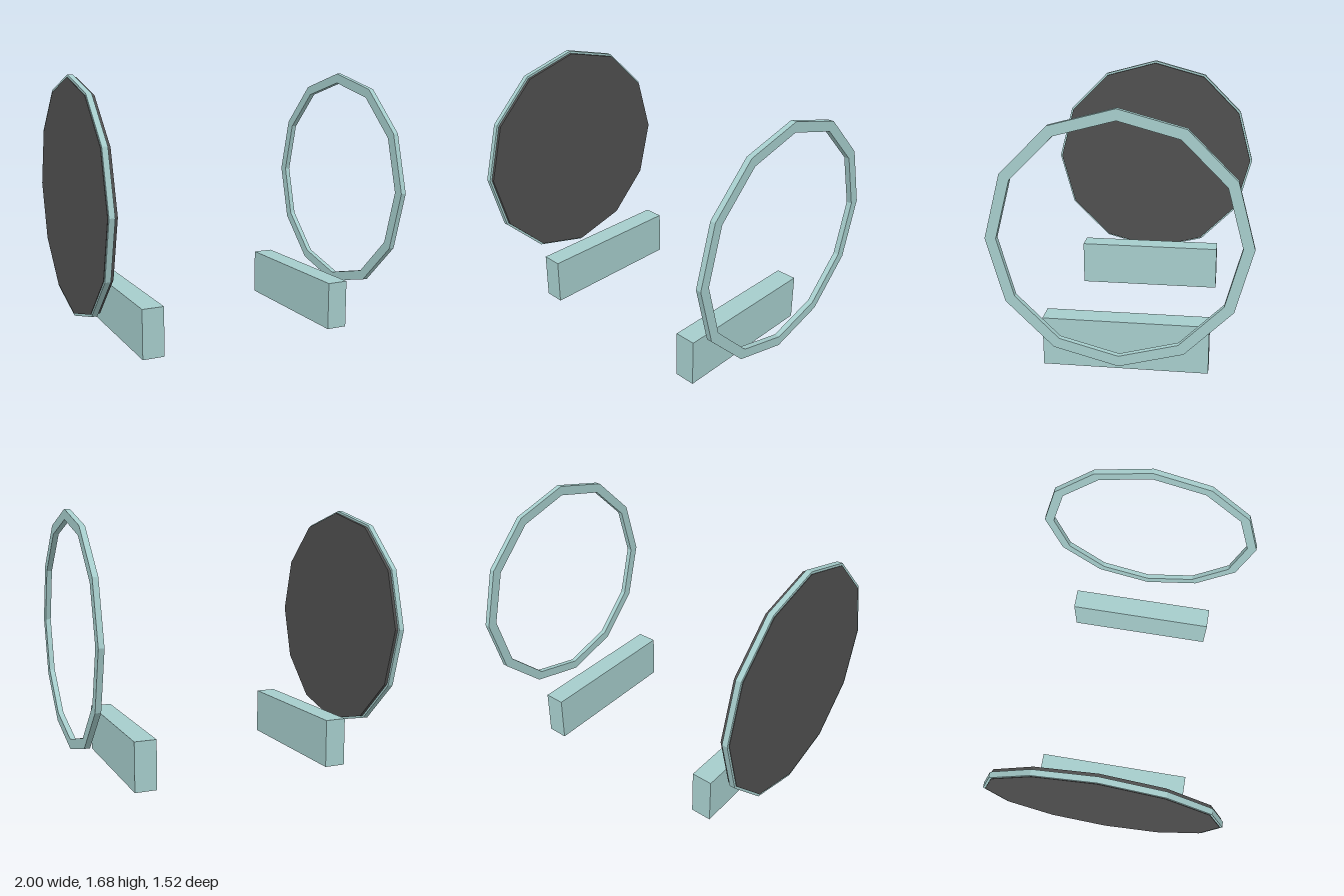
import * as THREE from 'three';

const SIDES = 12;
const CENTRE_Y = 0.925;

export function createModel() {
  const model = new THREE.Group();
  const paleTeal = new THREE.MeshStandardMaterial({ color: 0xa6cdcc, flatShading: true });
  paleTeal.name = 'pale teal';
  const charcoal = new THREE.MeshStandardMaterial({ color: 0x505050, flatShading: true });
  charcoal.name = 'charcoal';

  const add = (name, geometry, material, x, y) => {
    const mesh = new THREE.Mesh(geometry, material);
    mesh.name = name;
    mesh.position.set(x, y, 0);
    model.add(mesh);
  };

  // Square-section hoop, turned so its axis runs along x
  const outer = 0.76, inner = 0.695, half = 0.0175;
  const section = [
    [outer, -half], [outer, half], [inner, half], [inner, -half], [outer, -half],
  ].map(([r, h]) => new THREE.Vector2(r, h));
  const hoop = new THREE.LatheGeometry(section, SIDES).rotateZ(Math.PI / 2);

  // Long low block
  const block = new THREE.BoxGeometry(0.14, 0.315, 1.03);

  for (const [side, s] of [['left', 1], ['right', -1]]) {
    add(side + 'Hoop', hoop, paleTeal, s * 0.979, CENTRE_Y);
    add(side + 'Block', block, paleTeal, s * 0.658, 0.1575);
  }

  // Solid dark disc filling the right hoop
  const disc = new THREE.CylinderGeometry(0.745, 0.745, 0.058, SIDES).rotateZ(Math.PI / 2);
  add('rightDisc', disc, charcoal, -0.971, CENTRE_Y);

  return model;
}
